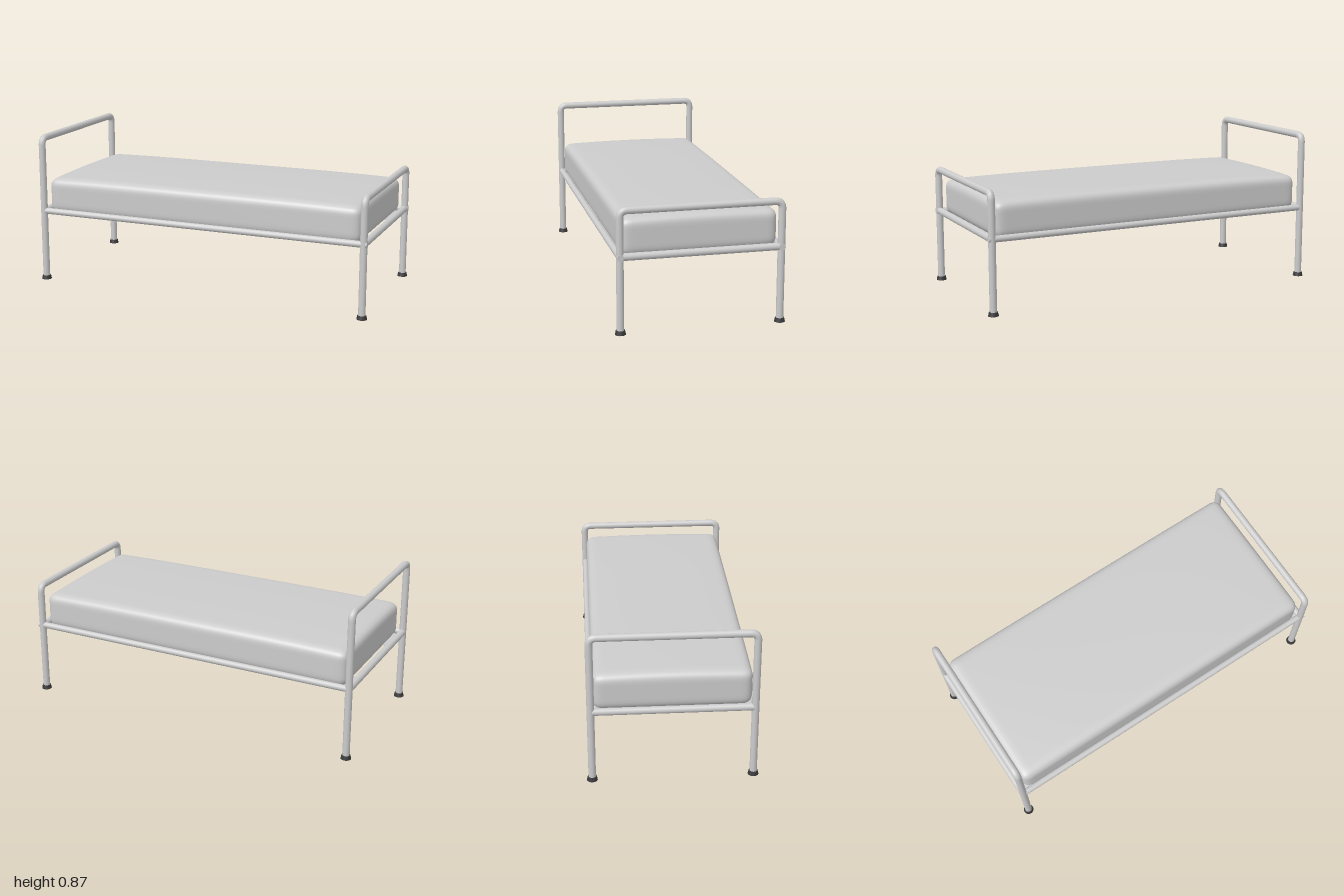
import * as THREE from 'three';
import { mergeVertices } from 'three/addons/utils/BufferGeometryUtils.js';

const grey = new THREE.MeshStandardMaterial({ color: 0xcccccc });
const rubber = new THREE.MeshStandardMaterial({ color: 0x3a3a3a });

const POST_X = 0.97, POST_Z = 0.43, TUBE_R = 0.02, RAIL_Y = 0.415;

function add(parent, name, geometry, material = grey) {
  const mesh = new THREE.Mesh(geometry, material);
  mesh.name = name;
  parent.add(mesh);
  return mesh;
}

// Bent tube: two legs joined by a top bar with rounded corners
function hoop(height) {
  const v = (y, z) => new THREE.Vector3(0, y, z);
  const bend = 0.04, top = height - TUBE_R, z = POST_Z;
  const path = new THREE.CurvePath();
  path.add(new THREE.LineCurve3(v(0.01, z), v(top - bend, z)));
  path.add(new THREE.QuadraticBezierCurve3(v(top - bend, z), v(top, z), v(top, z - bend)));
  path.add(new THREE.LineCurve3(v(top, z - bend), v(top, bend - z)));
  path.add(new THREE.QuadraticBezierCurve3(v(top, bend - z), v(top, -z), v(top - bend, -z)));
  path.add(new THREE.LineCurve3(v(top - bend, -z), v(0.01, -z)));
  return new THREE.TubeGeometry(path, 200, TUBE_R, 16, false);
}

// Soft block: a box with rounded edges and a slightly crowned top
function mattressGeometry(hx, hy, hz, r) {
  let g = new THREE.BoxGeometry(2, 2, 2, 40, 16, 28);
  g.deleteAttribute('uv');
  g.deleteAttribute('normal');
  g = mergeVertices(g);
  const pos = g.attributes.position;
  const p = new THREE.Vector3(), core = new THREE.Vector3();
  // crowd the grid lines towards the edges
  const ease = (t) => Math.sin(t * Math.PI / 2);
  for (let i = 0; i < pos.count; i++) {
    p.fromBufferAttribute(pos, i);
    p.set(ease(p.x) * hx, ease(p.y) * hy, ease(p.z) * hz);
    core.set(
      THREE.MathUtils.clamp(p.x, r - hx, hx - r),
      THREE.MathUtils.clamp(p.y, r - hy, hy - r),
      THREE.MathUtils.clamp(p.z, r - hz, hz - r));
    p.sub(core).setLength(r).add(core);
    const up = Math.max(0, p.y / hy);
    p.y -= 0.008 * up * ((p.x / hx) ** 4 + (p.z / hz) ** 2);
    pos.setXYZ(i, p.x, p.y, p.z);
  }
  g.computeVertexNormals();
  return g;
}

// Thin base sheet with a notch in the middle of each side
function basePanelGeometry() {
  const x = 0.95, z = 0.415;
  const outline = [
    [-x, -z], [-0.27, -z], [-0.27, -0.27], [0.12, -0.27], [0.12, -z], [x, -z],
    [x, -0.2], [0.76, -0.2], [0.76, 0.2], [x, 0.2],
    [x, z], [0.12, z], [0.12, 0.29], [-0.27, 0.29], [-0.27, z], [-x, z],
    [-x, 0.24], [-0.83, 0.24], [-0.83, -0.24], [-x, -0.24],
  ].map(([a, b]) => new THREE.Vector2(a, b));
  const g = new THREE.ExtrudeGeometry(new THREE.Shape(outline), { depth: 0.005, bevelEnabled: false });
  return g.rotateX(Math.PI / 2);
}

export function createModel() {
  const bed = new THREE.Group();
  bed.name = 'bed';

  // Head and foot hoops, with their cross rails and rubber feet
  for (const [name, x, height] of [['headFrame', -POST_X, 0.865], ['footFrame', POST_X, 0.68]]) {
    const end = new THREE.Group();
    end.name = name;
    end.position.x = x;
    add(end, 'hoop', hoop(height));
    const rail = add(end, 'crossRail', new THREE.CylinderGeometry(TUBE_R, TUBE_R, 2 * POST_Z, 16));
    rail.rotation.x = Math.PI / 2;
    rail.position.y = RAIL_Y;
    for (const side of [-1, 1]) {
      const foot = add(end, 'rubberFoot', new THREE.CylinderGeometry(0.024, 0.029, 0.022, 20), rubber);
      foot.position.set(0, 0.011, side * POST_Z);
    }
    bed.add(end);
  }

  // Long side rails
  for (const side of [-1, 1]) {
    const rail = add(bed, 'sideRail', new THREE.CylinderGeometry(0.018, 0.018, 2 * POST_X + 0.02, 16));
    rail.rotation.z = Math.PI / 2;
    rail.position.set(0.01, RAIL_Y, side * POST_Z);
  }

  // Base sheet and mattress
  add(bed, 'basePanel', basePanelGeometry()).position.y = 0.398;
  add(bed, 'mattress', mattressGeometry(0.945, 0.11, 0.42, 0.05)).position.y = 0.511;

  return bed;
}
